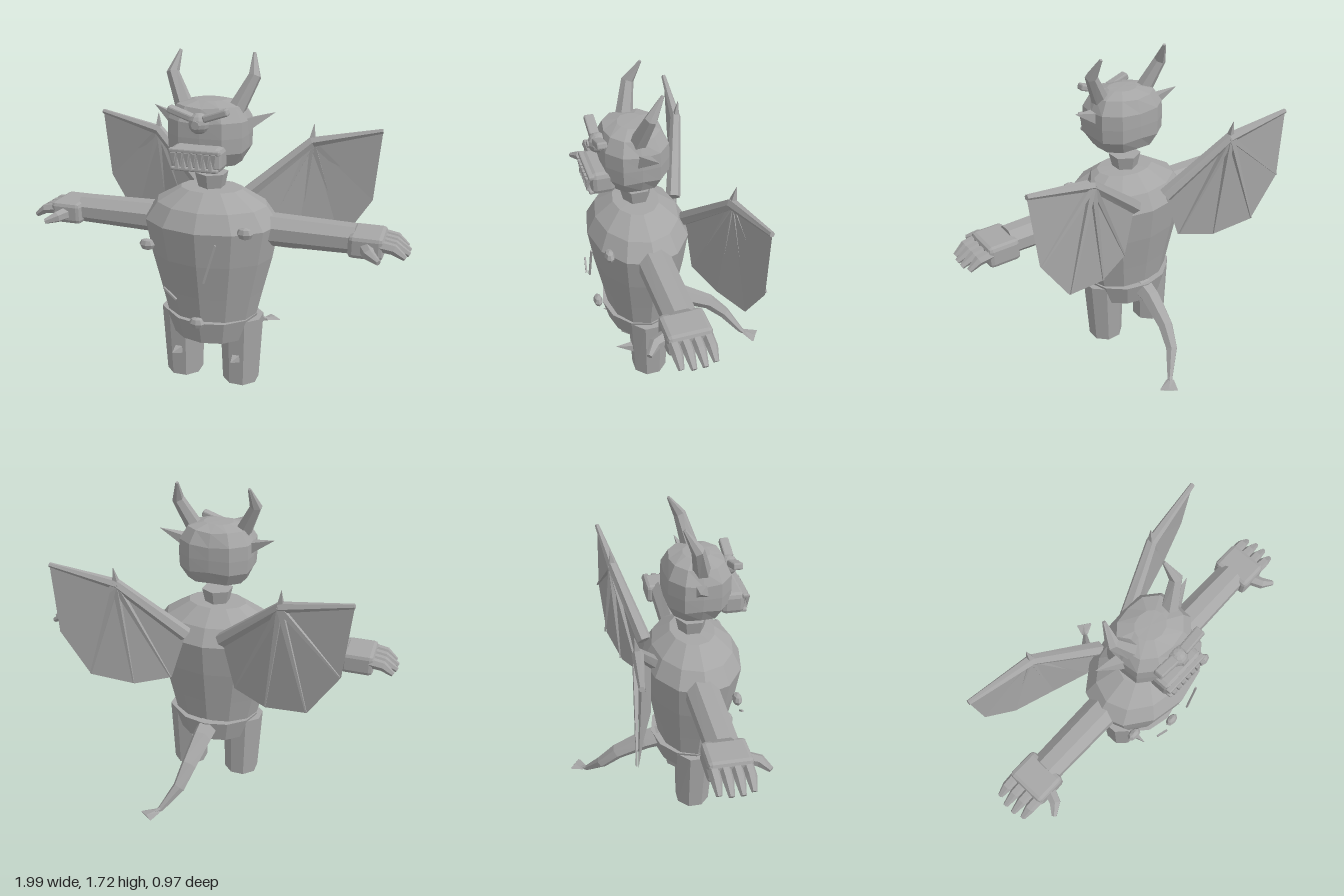
import * as THREE from 'three';
import { RoundedBoxGeometry } from 'three/addons/geometries/RoundedBoxGeometry.js';

const V = (x, y, z) => new THREE.Vector3(x, y, z);

// Capped tube through points, one radius (or [wide, deep] pair) per point
function loft(points, radii, sides, ref = V(0, 0, 1), spin = 0.5) {
  const rings = points.map((p, i) => {
    const t = points[Math.min(i + 1, points.length - 1)].clone().sub(points[Math.max(i - 1, 0)]).normalize();
    const u = ref.clone().cross(t).normalize();
    const v = t.clone().cross(u);
    const [ru, rv] = [].concat(radii[i], radii[i]);
    return Array.from({ length: sides }, (_, j) => {
      const a = ((j + spin) / sides) * Math.PI * 2;
      return p.clone().addScaledVector(u, Math.cos(a) * ru).addScaledVector(v, Math.sin(a) * rv);
    });
  });
  const tris = [];
  const last = rings.length - 1;
  for (let j = 0; j < sides; j++) {
    const k = (j + 1) % sides;
    for (let i = 0; i < last; i++) {
      const a = rings[i], b = rings[i + 1];
      tris.push(a[j], a[k], b[k], a[j], b[k], b[j]);
    }
    tris.push(points[0], rings[0][k], rings[0][j], points[last], rings[last][j], rings[last][k]);
  }
  return fromTriangles(tris);
}

function fromTriangles(tris) {
  const g = new THREE.BufferGeometry().setFromPoints(tris);
  g.computeVertexNormals();
  return g;
}

export function createModel() {
  const root = new THREE.Group();
  root.name = 'hornedMonster';
  const stone = new THREE.MeshStandardMaterial({ color: 0xa6a6a6, flatShading: true, side: THREE.DoubleSide });
  stone.name = 'stone grey';

  const add = (name, geometry, x = 0, y = 0, z = 0) => {
    const m = new THREE.Mesh(geometry, stone);
    m.name = name;
    m.position.set(x, y, z);
    root.add(m);
    return m;
  };
  const spike = (name, from, to, r, sides = 4, ref) => add(name, loft([from, to], [r, 0.001], sides, ref));

  // Barrel body and pelvis
  const lathe = (profile) => new THREE.LatheGeometry(profile.map(([r, y]) => new THREE.Vector2(r, y)), 12);
  add('body', lathe([[0, 0.36], [0.235, 0.36], [0.275, 0.53], [0.322, 0.72], [0.355, 0.9], [0.29, 0.99], [0.16, 1.065], [0, 1.07]]), 0, 0, 0.205).scale.z = 0.74;
  add('pelvis', lathe([[0, 0.27], [0.212, 0.27], [0.248, 0.395], [0, 0.395]]), 0, 0, 0.2).scale.z = 0.86;

  // Neck
  add('neck', new THREE.CylinderGeometry(0.085, 0.062, 0.1, 6), 0, 1.09, 0.2);

  // Head: a sphere squared off towards a box
  const head = new THREE.SphereGeometry(1, 12, 8);
  const pos = head.attributes.position;
  for (let i = 0; i < pos.count; i++) {
    const p = V(0, 0, 0).fromBufferAttribute(pos, i);
    const n = (Math.abs(p.x) ** 3.6 + Math.abs(p.y) ** 3.6 + Math.abs(p.z) ** 3.6) ** (1 / 3.6);
    p.divideScalar(n);
    pos.setXYZ(i, p.x * 0.195, p.y * 0.163, p.z * 0.165);
  }
  add('head', head, 0, 1.348, 0.212);

  // Single eye
  add('eye', new THREE.SphereGeometry(0.05, 10, 8), 0, 1.422, 0.378);
  add('pupil', new THREE.CylinderGeometry(0.02, 0.02, 0.008, 8), 0, 1.422, 0.428).rotation.x = Math.PI / 2;

  // Muzzle, lips and teeth
  add('muzzle', new RoundedBoxGeometry(0.25, 0.115, 0.12, 1, 0.025), 0, 1.262, 0.385);
  add('upperLip', new RoundedBoxGeometry(0.25, 0.022, 0.03, 1, 0.006), 0, 1.303, 0.443);
  add('lowerLip', new RoundedBoxGeometry(0.23, 0.018, 0.03, 1, 0.006), 0, 1.217, 0.443);
  for (let i = 0; i < 7; i++) {
    const x = (i - 3) * 0.033;
    spike('upperTooth', V(x, 1.297, 0.457), V(x, 1.235, 0.462), 0.017);
    if (i < 6) spike('lowerTooth', V(x + 0.0165, 1.22, 0.455), V(x + 0.0165, 1.275, 0.458), 0.015);
  }

  for (const s of [-1, 1]) {
    // Brow
    add('brow', new RoundedBoxGeometry(0.125, 0.034, 0.05, 1, 0.008), s * 0.087, 1.467, 0.387).rotation.z = s * 0.33;

    // Horn and ear
    add('horn', loft([V(s * 0.13, 1.46, 0.215), V(s * 0.208, 1.62, 0.17), V(s * 0.188, 1.72, 0.108)], [0.046, 0.032, 0.008], 6));
    spike('ear', V(s * 0.175, 1.39, 0.205), V(s * 0.31, 1.452, 0.165), 0.043);

    // Arm and hand
    add('arm', loft([V(s * 0.2, 0.87, 0.195), V(s * 0.73, 0.87, 0.195)], [[0.085, 0.092], [0.074, 0.083]], 8));
    add('palm', new RoundedBoxGeometry(0.168, 0.115, 0.215, 1, 0.022), s * 0.79, 0.862, 0.195);
    for (let i = 0; i < 4; i++) {
      const z = 0.115 + i * 0.053;
      const reach = i === 0 || i === 3 ? 0.975 : 0.99;
      add('finger', loft([V(s * 0.85, 0.878, z), V(s * 0.92, 0.868, z), V(s * reach, 0.83, z)], [0.029, 0.027, 0.014], 6));
    }
    add('thumb', loft([V(s * 0.79, 0.86, 0.28), V(s * 0.815, 0.855, 0.345), V(s * 0.865, 0.838, 0.385)], [0.034, 0.03, 0.014], 6, V(0, 1, 0)));

    // Leg with knee spike
    add('leg', loft([V(s * 0.16, 0, 0.2), V(s * 0.163, 0.38, 0.2)], [[0.097, 0.097], [0.115, 0.11]], 8));
    spike('kneeSpike', V(s * 0.16, 0.155, 0.28), V(s * 0.16, 0.185, 0.385), 0.032, 4, V(0, 1, 0));

    // Wing: arm bone, elbow claw, membrane fanned from the elbow, ribs
    const shoulder = V(s * 0.1, 0.95, -0.03);
    const elbow = V(s * 0.43, 1.24, -0.15);
    const tip = V(s * 0.785, 1.315, -0.19);
    const rim = [V(s * 0.755, 0.94, -0.2), V(s * 0.6, 0.695, -0.18), V(s * 0.37, 0.645, -0.12), V(s * 0.18, 0.68, -0.045)];
    add('wingBone', loft([shoulder, elbow, tip], [0.04, 0.029, 0.013], 6));
    spike('wingClaw', elbow, V(s * 0.435, 1.335, -0.165), 0.024);
    const edge = [tip, ...rim, shoulder];
    const fan = [];
    for (let i = 0; i < edge.length - 1; i++) {
      const pair = s > 0 ? [edge[i + 1], edge[i]] : [edge[i], edge[i + 1]];
      fan.push(elbow, ...pair);
    }
    add('wingMembrane', fromTriangles(fan));
    const back = V(0, 0, -0.01);
    for (const p of rim) {
      add('wingRib', loft([elbow.clone().add(back), p.clone().lerp(elbow, 0.02).add(back)], [0.02, 0.005], 4));
    }
  }

  // Tail with flat barb
  add('tail', loft(
    [V(0, 0.35, 0.04), V(0.005, 0.325, -0.05), V(0.025, 0.24, -0.21), V(0.05, 0.15, -0.3), V(0.125, 0.045, -0.385), V(0.145, 0.036, -0.41)],
    [0.06, 0.055, 0.043, 0.034, 0.016, 0.012], 6, V(1, 0, 0)));
  add('tailBarb', loft([V(0.135, 0.04, -0.4), V(0.182, 0.033, -0.452), V(0.184, 0.033, -0.455)],
    [[0.008, 0.02], [0.006, 0.048], [0.003, 0.046]], 4, V(0.7, 0, 0.7), 0));

  // Warts and scars on the belly
  for (const [x, y, z] of [[0.235, 0.91, 0.405], [-0.28, 0.787, 0.39], [0, 0.415, 0.44]]) {
    add('wart', new THREE.SphereGeometry(0.042, 8, 4), x, y, z).scale.set(1, 0.76, 0.6);
  }
  const scar = (a, b) => add('scar', loft([a, b], [0.007, 0.007], 4));
  scar(V(0.11, 0.86, 0.472), V(0.052, 0.66, 0.482));
  scar(V(-0.165, 0.6, 0.465), V(-0.095, 0.547, 0.475));

  return root;
}
